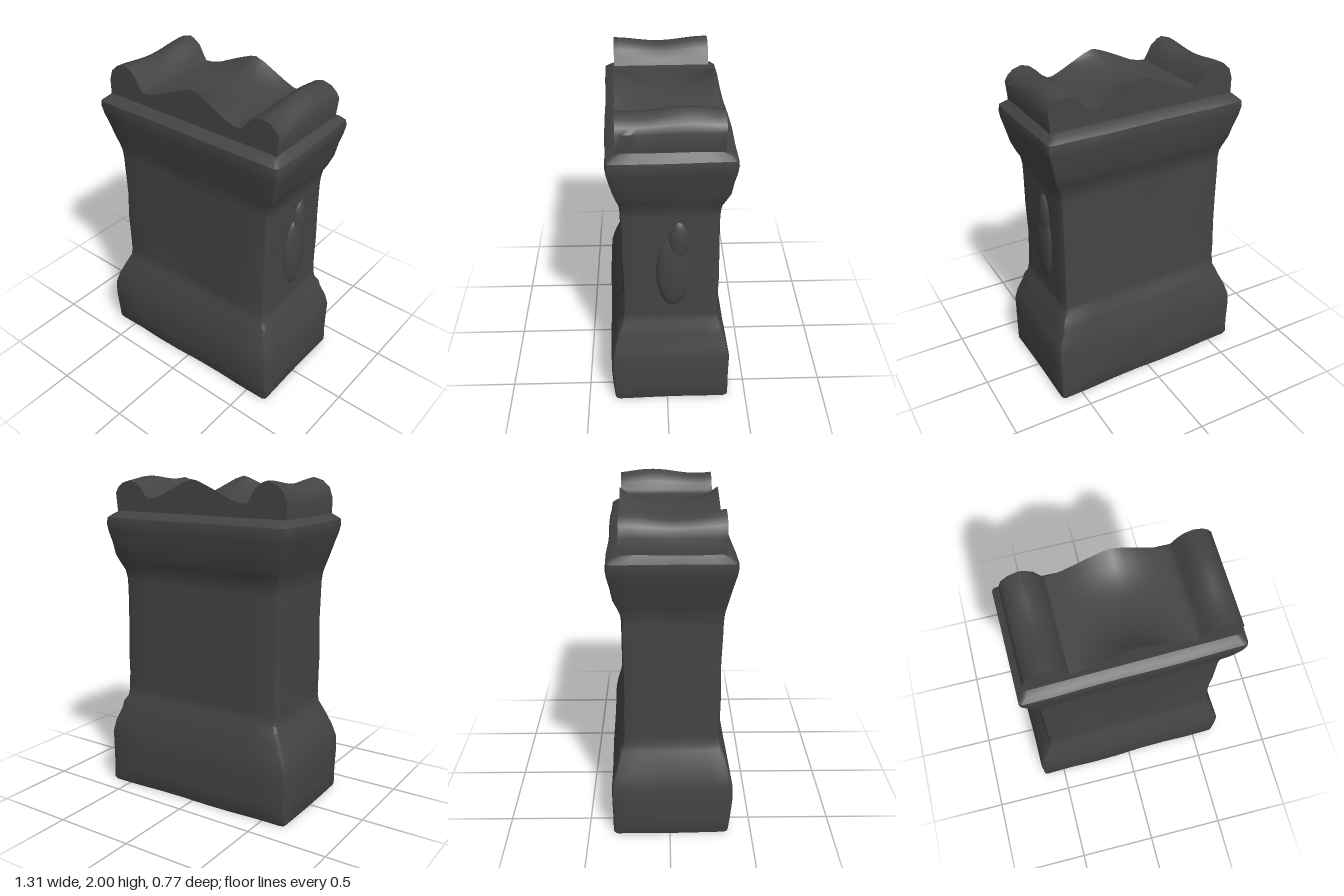
import * as THREE from 'three';
import { toCreasedNormals } from 'three/addons/utils/BufferGeometryUtils.js';

const stone = new THREE.MeshStandardMaterial({ color: 0x444444, roughness: 1 });

// The block stands slightly out of square; every part shares this skew.
function skew(geometry) {
  const p = geometry.attributes.position;
  for (let i = 0; i < p.count; i++) {
    const x = p.getX(i), z = p.getZ(i);
    p.setX(i, x + 0.014 * z);
    p.setZ(i, z - 0.027 * x);
  }
  return geometry;
}

function part(name, geometry, crease = 0.65) {
  const mesh = new THREE.Mesh(toCreasedNormals(skew(geometry), crease), stone);
  mesh.name = name;
  return mesh;
}

// Worn rectangular cross-section, running from +x towards +z.
function section([y, x0, x1, z0, z1]) {
  const r = 0.022, side = 7, points = [];
  const corners = [[x1, z1, -1, -1], [x0, z1, 1, -1], [x0, z0, 1, 1], [x1, z0, -1, 1]];
  const arcs = corners.map(([x, z, sx, sz], k) => [0, 1, 2].map((s) => {
    const a = (k + s / 2) * Math.PI / 2;
    return new THREE.Vector3(x + sx * r + r * Math.cos(a), y, z + sz * r + r * Math.sin(a));
  }));
  arcs.forEach((arc, k) => {
    points.push(...arc);
    const next = arcs[(k + 1) % 4][0];
    for (let i = 1; i < side; i++) points.push(arc[2].clone().lerp(next, i / side));
  });
  // gentle weathering
  for (const p of points) {
    const w = 0.005 * Math.sin(9 * p.x + 7 * y) * Math.cos(8 * p.z + 5 * y);
    p.x += w * Math.sign(p.x);
    p.z += w * Math.sign(p.z);
  }
  return points;
}

// Skin through stacked sections, closed at both ends.
function loft(rows) {
  const rings = rows.map(section), n = rings[0].length;
  const pos = rings.flat().flatMap((p) => [p.x, p.y, p.z]);
  const index = [];
  for (let i = 0; i < rings.length - 1; i++) {
    for (let j = 0; j < n; j++) {
      const a = i * n + j, b = i * n + (j + 1) % n;
      index.push(a, a + n, b, b, a + n, b + n);
    }
  }
  const bottom = rings.length * n, last = bottom - n;
  pos.push(0, rows[0][0], 0, 0, rows[rows.length - 1][0], 0);
  for (let j = 0; j < n; j++) {
    const k = (j + 1) % n;
    index.push(bottom, j, k, bottom + 1, last + k, last + j);
  }
  const g = new THREE.BufferGeometry();
  g.setAttribute('position', new THREE.Float32BufferAttribute(pos, 3));
  g.setIndex(index);
  return g;
}

// Gable between two side bolsters, hollowed into a shallow dish on top.
function crestGeometry() {
  const outline = [
    [-0.59, 1.74], [0.6, 1.74], [0.6, 1.8], [0.61, 1.9], [0.59, 1.945], [0.555, 1.98], [0.5, 1.998],
    [0.45, 1.98], [0.41, 1.94], [0.385, 1.89], [0.36, 1.872], [0.31, 1.875], [0.25, 1.9], [0.18, 1.935],
    [0.1, 1.975], [0.04, 1.995], [0, 1.987], [-0.08, 1.955], [-0.16, 1.918], [-0.23, 1.886], [-0.29, 1.87],
    [-0.335, 1.868], [-0.355, 1.9], [-0.385, 1.955], [-0.43, 1.988], [-0.46, 1.998], [-0.52, 1.98],
    [-0.565, 1.94], [-0.585, 1.88], [-0.585, 1.8]];
  const shape = new THREE.Shape(outline.map(([x, y]) => new THREE.Vector2(x, y)));
  const half = 0.288;
  const g = new THREE.ExtrudeGeometry(shape, { depth: 2 * half, steps: 14, bevelEnabled: false });
  g.translate(0, 0, -half);
  const p = g.attributes.position;
  for (let i = 0; i < p.count; i++) {
    const x = p.getX(i), y = p.getY(i), z = p.getZ(i), t = z / half;
    if (y < 1.82) continue;
    if (Math.abs(x) < 0.34) {
      const hollow = 1 - Math.pow(Math.abs(t), 2.5);
      p.setY(i, y - 0.8 * hollow * Math.max(0, y - 1.87));
    } else if (y > 1.9) {
      // bolsters are uneven along their length
      p.setY(i, y - 0.014 * (1 - Math.cos(11 * z + (x > 0 ? 1 : 3))) * (y - 1.87) / 0.13);
    }
  }
  return g;
}

export function createModel() {
  const group = new THREE.Group();
  group.name = 'stoneAltar';

  // Each row: y, left x, right x, back z, front z
  group.add(part('base', loft([
    [0, -0.645, 0.635, -0.36, 0.34], [0.015, -0.652, 0.643, -0.368, 0.347], [0.12, -0.65, 0.643, -0.368, 0.36],
    [0.24, -0.65, 0.643, -0.368, 0.367], [0.34, -0.646, 0.643, -0.366, 0.36], [0.42, -0.622, 0.625, -0.35, 0.342],
    [0.5, -0.587, 0.592, -0.328, 0.322], [0.55, -0.565, 0.585, -0.318, 0.305], [0.585, -0.548, 0.562, -0.3, 0.29],
    [0.63, -0.545, 0.556, -0.293, 0.283]])));

  group.add(part('shaft', loft([
    [0.58, -0.543, 0.556, -0.293, 0.283], [0.75, -0.541, 0.553, -0.29, 0.28], [0.9, -0.54, 0.55, -0.289, 0.28],
    [1.1, -0.538, 0.55, -0.286, 0.28], [1.3, -0.537, 0.553, -0.284, 0.282], [1.44, -0.538, 0.556, -0.284, 0.284]])));

  group.add(part('cornice', loft([
    [1.36, -0.536, 0.553, -0.283, 0.282], [1.42, -0.542, 0.562, -0.29, 0.286], [1.46, -0.553, 0.582, -0.305, 0.294],
    [1.52, -0.573, 0.605, -0.33, 0.308], [1.6, -0.598, 0.622, -0.342, 0.326], [1.67, -0.62, 0.642, -0.356, 0.342],
    [1.715, -0.63, 0.65, -0.36, 0.348], [1.75, -0.628, 0.645, -0.356, 0.346], [1.77, -0.605, 0.622, -0.335, 0.322],
    [1.79, -0.585, 0.6, -0.29, 0.288]])));

  group.add(part('crest', crestGeometry(), 0.7));

  // Worn relief on the left side: a rounded body with a neck above
  const relief = (name, y, z, ry, rz) => {
    const g = new THREE.SphereGeometry(1, 20, 14);
    g.scale(0.04, ry, rz);
    g.translate(0.548, y, z);
    group.add(part(name, g, 1.2));
  };
  relief('reliefBody', 0.96, -0.02, 0.25, 0.1);
  relief('reliefNeck', 1.18, -0.05, 0.14, 0.06);

  return group;
}
